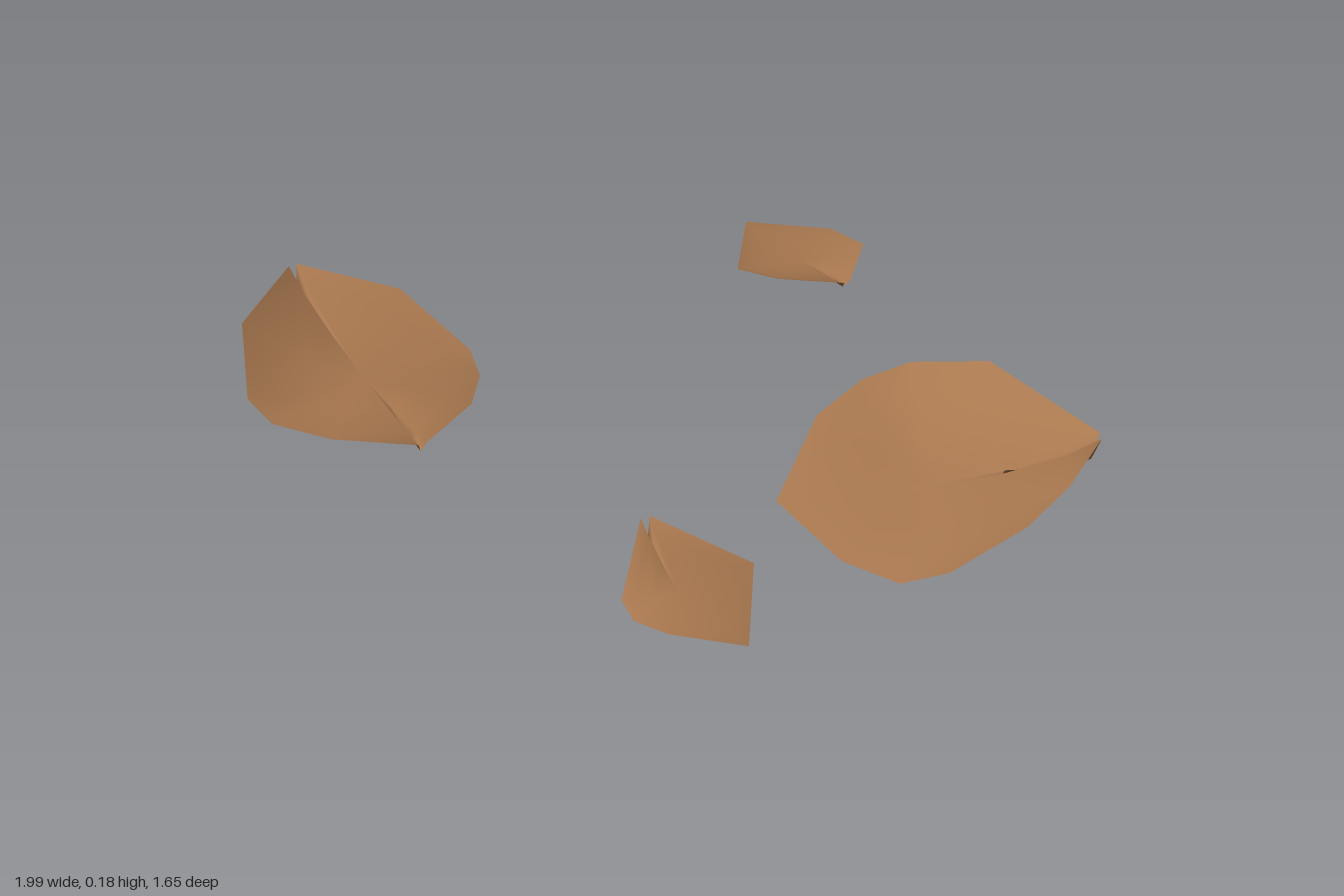
import * as THREE from 'three';

// Rim points [x, y, z] run clockwise from above; a fourth number splits a curled tip by that depth.
const largeLeafLeft = [
  [0.55, 0.18, -0.52], [0.91, 0.17, -0.5, 0.07], [0.97, 0.16, -0.31], [0.99, 0.155, -0.14],
  [0.93, 0.095, 0.05], [0.84, 0.04, 0.11], [0.68, 0.015, 0.13], [0.42, 0.005, 0.08],
  [0.31, 0.065, -0.17], [0.31, 0.09, -0.33], [0.37, 0.12, -0.44],
];
const largeLeafRight = [
  [-1, 0.14, 0.44, 0.04], [-0.77, 0.1, 0.27], [-0.52, 0.025, 0.245], [-0.44, 0.005, 0.28],
  [-0.35, 0.02, 0.38], [-0.27, 0.06, 0.595, 0.035], [-0.42, 0.075, 0.755],
  [-0.57, 0.07, 0.82], [-0.67, 0.09, 0.82], [-0.86, 0.155, 0.695],
];
const smallLeafBack = [
  [-0.42, 0.055, -0.65], [-0.27, 0.022, -0.83], [-0.13, 0.05, -0.81],
  [-0.03, 0.06, -0.64, 0.025], [-0.14, 0.085, -0.49], [-0.27, 0.06, -0.47],
];
const smallLeafFront = [
  [0.32, 0.09, 0.41, 0.045], [0.55, 0.02, 0.285], [0.73, 0.015, 0.48],
  [0.6, 0.04, 0.6], [0.51, 0.03, 0.62], [0.44, 0.03, 0.595],
];

// Rings between centre and rim: [outward fraction, share of the rim's height]
const RINGS = [[0.45, 0.25], [0.8, 0.62], [1, 1]];

// Replace a tip with two raised corners and a low notch between them
function splitTip([x, y, z, depth], centre) {
  const point = new THREE.Vector3(x, y, z);
  if (!depth) return [point];
  const inward = new THREE.Vector3(centre.x - x, 0, centre.z - z).normalize();
  const side = new THREE.Vector3(inward.z, 0, -inward.x).multiplyScalar(0.011);
  const notch = point.clone().addScaledVector(inward, 0.016);
  notch.y -= depth;
  return [point.clone().sub(side), notch, point.clone().add(side)];
}

// A shallow bowl that rises from a low centre towards its uneven rim
function leafGeometry(outline, centreHeight) {
  const centre = new THREE.Vector3();
  for (const [x, , z] of outline) centre.add(new THREE.Vector3(x, 0, z));
  centre.divideScalar(outline.length).setY(centreHeight);

  const rim = outline.flatMap((p) => splitTip(p, centre));
  const n = rim.length;
  const points = [centre];
  for (const [out, lift] of RINGS) {
    for (const p of rim) {
      const height = THREE.MathUtils.lerp(centre.y, p.y, lift);
      points.push(centre.clone().lerp(p, out).setY(height));
    }
  }
  const index = [];
  for (let i = 0; i < n; i++) {
    const j = (i + 1) % n;
    index.push(0, 1 + j, 1 + i);
    for (let r = 0; r < RINGS.length - 1; r++) {
      const a = 1 + r * n, b = a + n;
      index.push(a + i, a + j, b + j, a + i, b + j, b + i);
    }
  }
  const geometry = new THREE.BufferGeometry().setFromPoints(points);
  geometry.setIndex(index);
  geometry.computeVertexNormals();
  return geometry;
}

export function createModel() {
  const group = new THREE.Group();
  group.name = 'fallenLeaves';
  const brown = new THREE.MeshStandardMaterial({ color: 0xa9784f, side: THREE.DoubleSide });
  brown.name = 'dryLeafBrown';

  const addLeaf = (name, outline, centreHeight) => {
    const mesh = new THREE.Mesh(leafGeometry(outline, centreHeight), brown);
    mesh.name = name;
    group.add(mesh);
  };
  addLeaf('largeLeafLeft', largeLeafLeft, 0.045);
  addLeaf('largeLeafRight', largeLeafRight, 0.045);
  addLeaf('smallLeafBack', smallLeafBack, 0.032);
  addLeaf('smallLeafFront', smallLeafFront, 0.045);
  return group;
}
